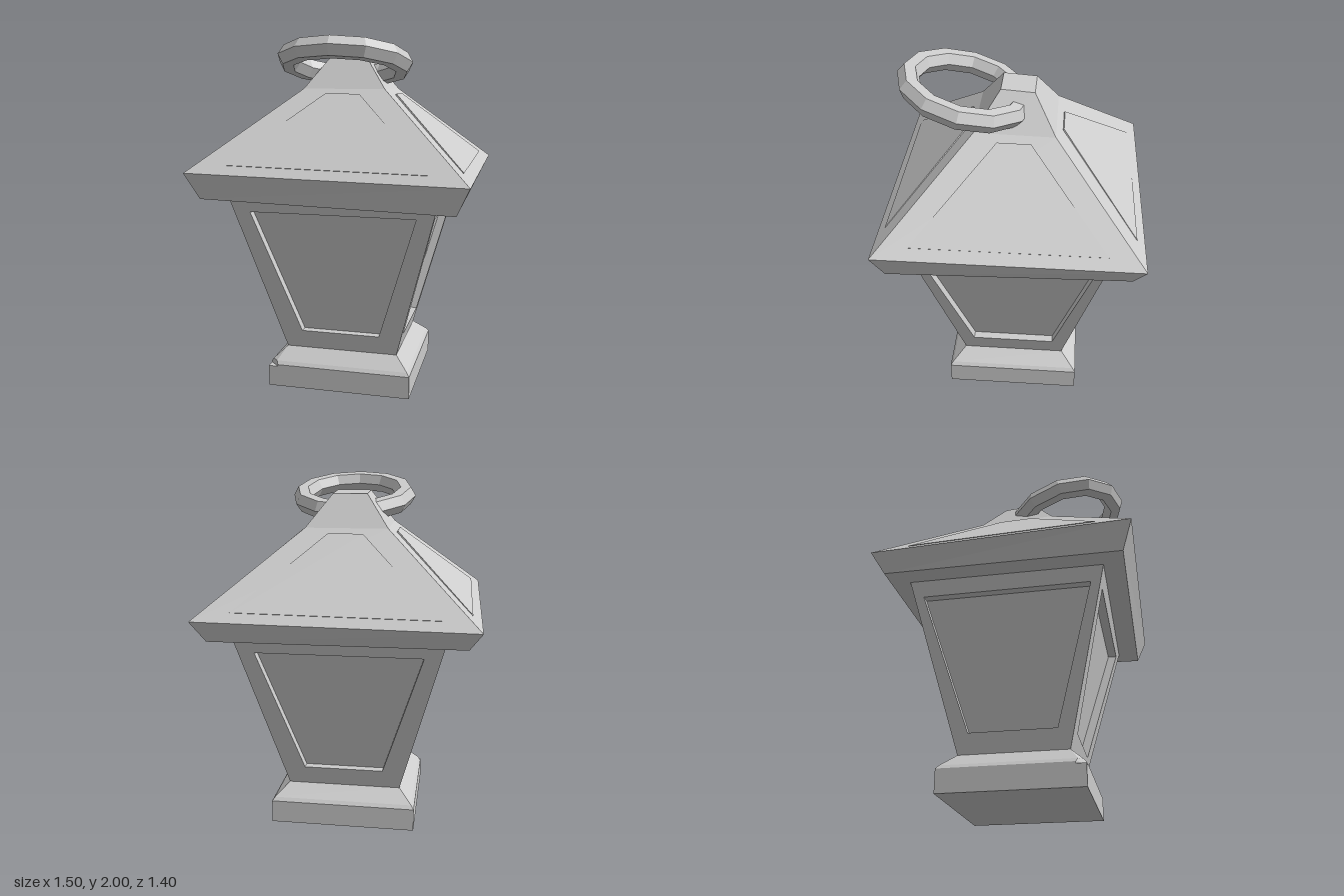
import * as THREE from 'three';

const metal = new THREE.MeshStandardMaterial({ color: 0xcccccc, flatShading: true });
metal.name = 'grey metal';

// Mesh from flat convex faces, each a list of corners seen counter-clockwise from outside
function facesMesh(name, faces) {
  const pos = [];
  for (const f of faces) {
    for (let i = 1; i < f.length - 1; i++) pos.push(...f[0], ...f[i], ...f[i + 1]);
  }
  const g = new THREE.BufferGeometry();
  g.setAttribute('position', new THREE.Float32BufferAttribute(pos, 3));
  g.computeVertexNormals();
  const mesh = new THREE.Mesh(g, metal);
  mesh.name = name;
  return mesh;
}

// Faces joining two rings; with closed rings when capped
function band(lower, upper) {
  return lower.map((p, i) => {
    const j = (i + 1) % lower.length;
    return [p, lower[j], upper[j], upper[i]];
  });
}
function loft(rings) {
  const faces = [[...rings[0]].reverse(), rings[rings.length - 1]];
  for (let i = 0; i < rings.length - 1; i++) faces.push(...band(rings[i], rings[i + 1]));
  return faces;
}

// Rectangle ring: front left, front right, back right, back left corner as seen from the front
function rect(x0, x1, zf, zb, ys) {
  const y = Array.isArray(ys) ? ys : [ys, ys, ys, ys];
  return [[x0, y[0], zf], [x1, y[1], zf], [x1, y[2], zb], [x0, y[3], zb]];
}

// Base ring whose first corner can be chipped off by c
function baseRing(x, z, y, c = 0) {
  return [[-x, y, z - c], [-x + c, y, z], [x, y, z], [x, y, -z], [-x, y, -z]];
}

// One tapered lantern wall: frame, recess and pane
function lanternSide(name, width, depth, inner, turn) {
  const at = (k, y) => k[0] + k[1] * (y - 0.22);
  const point = (x, y, inset = 0) => [x, y, at(depth, y) - inset];
  const quad = (a, y0, b, y1, inset) =>
    [point(-a, y0, inset), point(a, y0, inset), point(b, y1, inset), point(-b, y1, inset)];
  const outer = quad(at(width, 0.2), 0.2, at(width, 1.16), 1.16);
  const hole = quad(inner[0], 0.33, inner[1], 1.06);
  const pane = quad(inner[0], 0.33, inner[1], 1.06, 0.05);
  const mesh = facesMesh(name, [...band(outer, hole), ...band(hole, pane), pane]);
  mesh.rotation.y = turn;
  return mesh;
}

// Slightly raised panel on one roof slope, given the slope's four corners
function roofPanel(corners) {
  const [a, b, c, d] = corners.map((p) => new THREE.Vector3(...p));
  const n = c.clone().sub(a).cross(d.clone().sub(b)).normalize();
  const point = (u, v, lift) => a.clone().lerp(b, u)
    .lerp(d.clone().lerp(c, u), v).addScaledVector(n, lift).toArray();
  const ring = (lift, foot) => [
    point(0.11, 0.1, foot), point(0.89, 0.1, foot), point(0.68, 0.93, lift), point(0.32, 0.93, lift)];
  const low = ring(-0.01, -0.01), high = ring(0.008, 0.003);
  return facesMesh('roofPanel', [...band(low, high), high]);
}

export function createModel() {
  const model = new THREE.Group();
  model.name = 'lantern';

  // Plinth with bevelled top and a chipped corner
  model.add(facesMesh('base', loft([
    baseRing(0.415, 0.39, 0),
    baseRing(0.415, 0.39, 0.12),
    baseRing(0.415, 0.39, 0.12, 0.055),
    baseRing(0.415, 0.39, 0.13, 0.055),
    baseRing(0.4, 0.375, 0.15, 0.03),
    baseRing(0.325, 0.3, 0.22),
  ])));

  // Four walls with recessed panes
  const wx = [0.325, 0.27], wz = [0.3, 0.253];
  ['frontWall', 'leftWall', 'backWall', 'rightWall'].forEach((name, i) => {
    const side = i % 2 === 1;
    model.add(lanternSide(name, side ? wz : wx, side ? wx : wz,
      side ? [0.24, 0.46] : [0.227, 0.46], i * Math.PI / 2));
  });

  // Slightly crooked roof with eave, slopes and cap
  const eave = rect(-0.755, 0.75, 0.7, -0.705, [1.29, 1.265, 1.265, 1.25]);
  const shoulder = rect(-0.235, 0.228, 0.213, -0.218, [1.72, 1.72, 1.71, 1.71]);
  model.add(facesMesh('roof', loft([
    rect(-0.69, 0.68, 0.645, -0.645, [1.145, 1.113, 1.148, 1.15]),
    eave,
    shoulder,
    rect(-0.105, 0.09, 0.08, -0.1, [1.905, 1.905, 1.892, 1.892]),
  ])));
  for (let i = 0; i < 4; i++) {
    const j = (i + 1) % 4;
    model.add(roofPanel([eave[i], eave[j], shoulder[j], shoulder[i]]));
  }

  // Carrying ring through the cap
  const ring = new THREE.Mesh(new THREE.TorusGeometry(0.313, 0.06, 6, 12), metal);
  ring.name = 'carryRing';
  ring.position.set(0.02, 1.865, 0.272);
  ring.rotation.x = Math.PI / 2 - 0.245;
  model.add(ring);

  return model;
}
